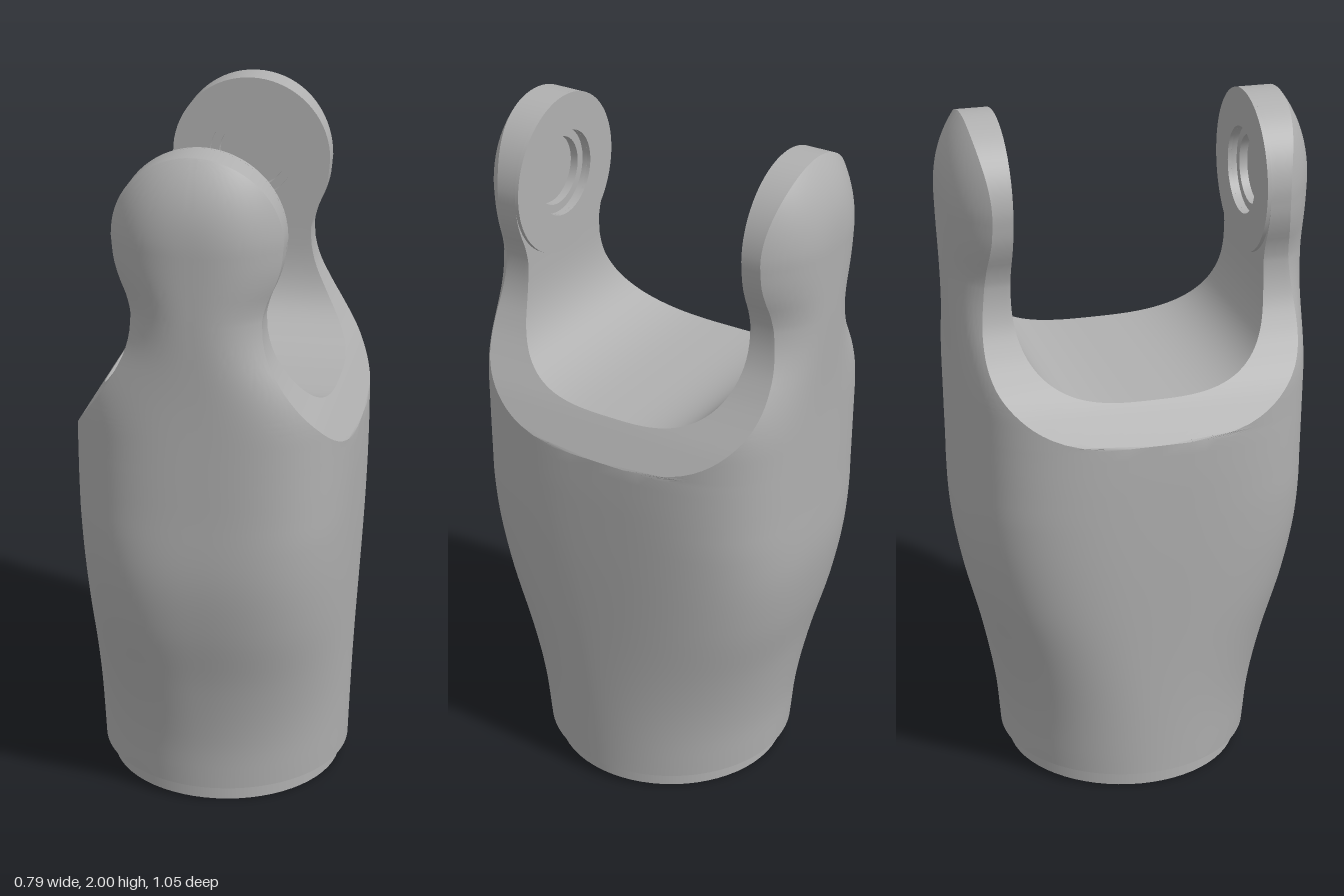
import * as THREE from 'three';
import { mergeGeometries, toCreasedNormals } from 'three/addons/utils/BufferGeometryUtils.js';

const HEAD_Y = 1.765, HEAD_R = 0.235, WALL = 0.366, FLOOR = 1.23, U_TOP = 1.55, BORE = 0.125;

// smooth interpolation through [y, value] pairs
function curve(pts) {
  const slope = (i) => {
    const a = pts[Math.max(i - 1, 0)], b = pts[Math.min(i + 1, pts.length - 1)];
    return (b[1] - a[1]) / (b[0] - a[0]);
  };
  return (y) => {
    if (y <= pts[0][0]) return pts[0][1];
    if (y >= pts[pts.length - 1][0]) return pts[pts.length - 1][1];
    let i = 0;
    while (y > pts[i + 1][0]) i++;
    const h = pts[i + 1][0] - pts[i][0], t = (y - pts[i][0]) / h, t2 = t * t, t3 = t2 * t;
    return (2 * t3 - 3 * t2 + 1) * pts[i][1] + (t3 - 2 * t2 + t) * h * slope(i)
      + (3 * t2 - 2 * t3) * pts[i + 1][1] + (t3 - t2) * h * slope(i + 1);
  };
}

// half width, half depth and squareness of the body, and the shoulder/neck outline
const halfWidth = curve([[0.05, 0.37], [0.4, 0.38], [0.75, 0.392], [1.0, 0.397]]);
const halfDepth = curve([[0.05, 0.37], [0.2, 0.383], [0.4, 0.42], [0.6, 0.469], [0.78, 0.497],
  [1.0, 0.502], [1.3, 0.508], [1.55, 0.52], [1.765, 0.527]]);
const squareness = curve([[0.05, 2], [0.3, 2.2], [0.6, 2.75], [0.9, 3.2]]);
const shoulder = curve([[1.12, 0.397], [1.175, 0.363], [1.23, 0.328], [1.3, 0.278], [1.37, 0.233],
  [1.45, 0.195], [1.54, 0.18], [1.6, 0.192], [1.65, 0.213], [1.7, 0.228], [1.765, HEAD_R]]);

function outline(y) {
  if (y > HEAD_Y) return Math.sqrt(Math.max(HEAD_R ** 2 - (y - HEAD_Y) ** 2, 0));
  return y < 1.12 ? halfWidth(y) : Math.min(halfWidth(y), shoulder(y));
}

// outer skin depth, domed towards the rim of the ears
function outerZ(x, y, s) {
  const n = squareness(y);
  const z = halfDepth(y) * Math.pow(Math.max(1 - Math.pow(Math.abs(x) / halfWidth(y), n), 0), 1 / n);
  const r = y > HEAD_Y ? Math.hypot(x, y - HEAD_Y) / HEAD_R : Math.abs(x) / s;
  return z - 0.07 * THREE.MathUtils.smoothstep(y, 1.2, 1.6) * Math.pow(r, 2.5);
}

// levels as [y, inner z]
function makeLevels() {
  const levels = [];
  const add = (y, z) => levels.push([y, z]);
  for (let i = 0; i < 30; i++) add(0.05 + 1.07 * i / 30, 0);
  for (let i = 0; i < 8; i++) add(1.12 + (FLOOR - 1.12) * i / 8, 0);
  for (let i = 0; i <= 28; i++) {
    const a = i / 28 * Math.PI / 2;
    add(U_TOP - (U_TOP - FLOOR) * Math.pow(Math.max(Math.cos(a), 0), 2 / 3), WALL * Math.pow(Math.sin(a), 2 / 3));
  }
  for (let i = 1; i <= 12; i++) add(U_TOP + (HEAD_Y - U_TOP) * i / 12, WALL);
  for (let i = 1; i <= 18; i++) add(HEAD_Y + HEAD_R * Math.sin(i / 18 * Math.PI / 2), WALL);
  return levels;
}

function gridGeometry(rows) {
  const pos = [];
  for (let i = 0; i < rows.length - 1; i++) {
    for (let j = 0; j < rows[i].length - 1; j++) {
      const a = rows[i][j], b = rows[i + 1][j], c = rows[i][j + 1], d = rows[i + 1][j + 1];
      pos.push(...a, ...b, ...c, ...c, ...b, ...d);
    }
  }
  const g = new THREE.BufferGeometry();
  g.setAttribute('position', new THREE.Float32BufferAttribute(pos, 3));
  return g;
}

const boreHole = (y) => new THREE.Path().absarc(0, y, BORE, 0, Math.PI * 2, true);

function makeBody() {
  const levels = makeLevels(), SIDE = 6, ARC = 64;
  // outer skin of the front half: side strip, front, side strip
  const skin = levels.map(([y, zi]) => {
    const s = outline(y), row = [], edge = outerZ(s, y, s || 1);
    for (let j = 0; j < SIDE; j++) row.push([s, y, zi + (edge - zi) * j / SIDE]);
    for (let j = 0; j <= ARC; j++) {
      const x = s * Math.cos(j / ARC * Math.PI);
      row.push([x, y, outerZ(x, y, s || 1)]);
    }
    for (let j = SIDE - 1; j >= 0; j--) row.push([-s, y, zi + (edge - zi) * j / SIDE]);
    return row;
  });
  // saddle floor and curved wall
  const saddle = levels.filter(([y]) => y >= FLOOR - 1e-6 && y <= U_TOP + 1e-6).map(([y, zi]) => {
    const s = outline(y);
    return Array.from({ length: 13 }, (_, j) => [s * (j / 6 - 1), y, zi]);
  });
  // flat inner face of the ear with its bore opening
  const ys = levels.map(([y]) => y).filter((y) => y >= U_TOP - 1e-6);
  const right = ys.map((y) => new THREE.Vector2(outline(y), y));
  const left = ys.slice(0, -1).reverse().map((y) => new THREE.Vector2(-outline(y), y));
  const shape = new THREE.Shape([...right, ...left]);
  shape.holes.push(boreHole(HEAD_Y));
  const face = new THREE.ShapeGeometry(shape, 24).rotateY(Math.PI).translate(0, 0, WALL).toNonIndexed();
  face.deleteAttribute('uv');
  face.deleteAttribute('normal');

  const half = mergeGeometries([gridGeometry(skin), gridGeometry(saddle), face]);
  const whole = mergeGeometries([half, half.clone().rotateY(Math.PI)]);
  return toCreasedNormals(whole, 0.4);
}

export function createModel() {
  const group = new THREE.Group();
  const grey = new THREE.MeshStandardMaterial({ color: 0xb0b0b0 });
  grey.name = 'grey';
  const greyOpen = grey;
  const add = (name, geometry, material = grey) => {
    const mesh = new THREE.Mesh(geometry, material);
    mesh.name = name;
    group.add(mesh);
    return mesh;
  };

  add('forkBody', makeBody());

  // base spigot and the underside of the body above it
  add('baseSpigot', new THREE.CylinderGeometry(0.345, 0.345, 0.06, 64).translate(0, 0.03, 0));
  add('bodyUnderside', new THREE.CircleGeometry(0.37, 64).rotateX(Math.PI / 2).translate(0, 0.05, 0));

  // stepped blind bores, wound to face the slot
  const profile = [[0, 0.04], [0.1, 0.04], [0.1, 0.016], [BORE, 0.016], [BORE, 0]]
    .map(([r, d]) => new THREE.Vector2(r, d));
  const bore = toCreasedNormals(new THREE.LatheGeometry(profile, 48).rotateX(Math.PI / 2), 0.4);
  const flipped = bore.getAttribute('normal').getZ(0) > 0;
  if (flipped) {
    // reverse the winding so the bottom faces outwards
    for (const key of ['position', 'normal']) {
      const at = bore.getAttribute(key), k = key === 'normal' ? -1 : 1;
      for (let i = 0; i < at.count; i += 3) {
        const p = [0, 2, 1].map((o) => new THREE.Vector3().fromBufferAttribute(at, i + o).multiplyScalar(k));
        p.forEach((v, o) => at.setXYZ(i + o, v.x, v.y, v.z));
      }
    }
  }
  bore.translate(0, HEAD_Y, WALL);
  add('frontBore', bore, greyOpen);
  add('backBore', bore, greyOpen).rotation.y = Math.PI;

  // raised bearing pad on the front ear
  const pad = new THREE.Shape().absarc(0, HEAD_Y, HEAD_R, 0, Math.PI * 2);
  pad.holes.push(boreHole(HEAD_Y));
  add('frontPad', toCreasedNormals(new THREE.ExtrudeGeometry(pad,
    { depth: 0.011, bevelEnabled: false, curveSegments: 48 }).translate(0, 0, 0.355), 0.4));

  return group;
}
